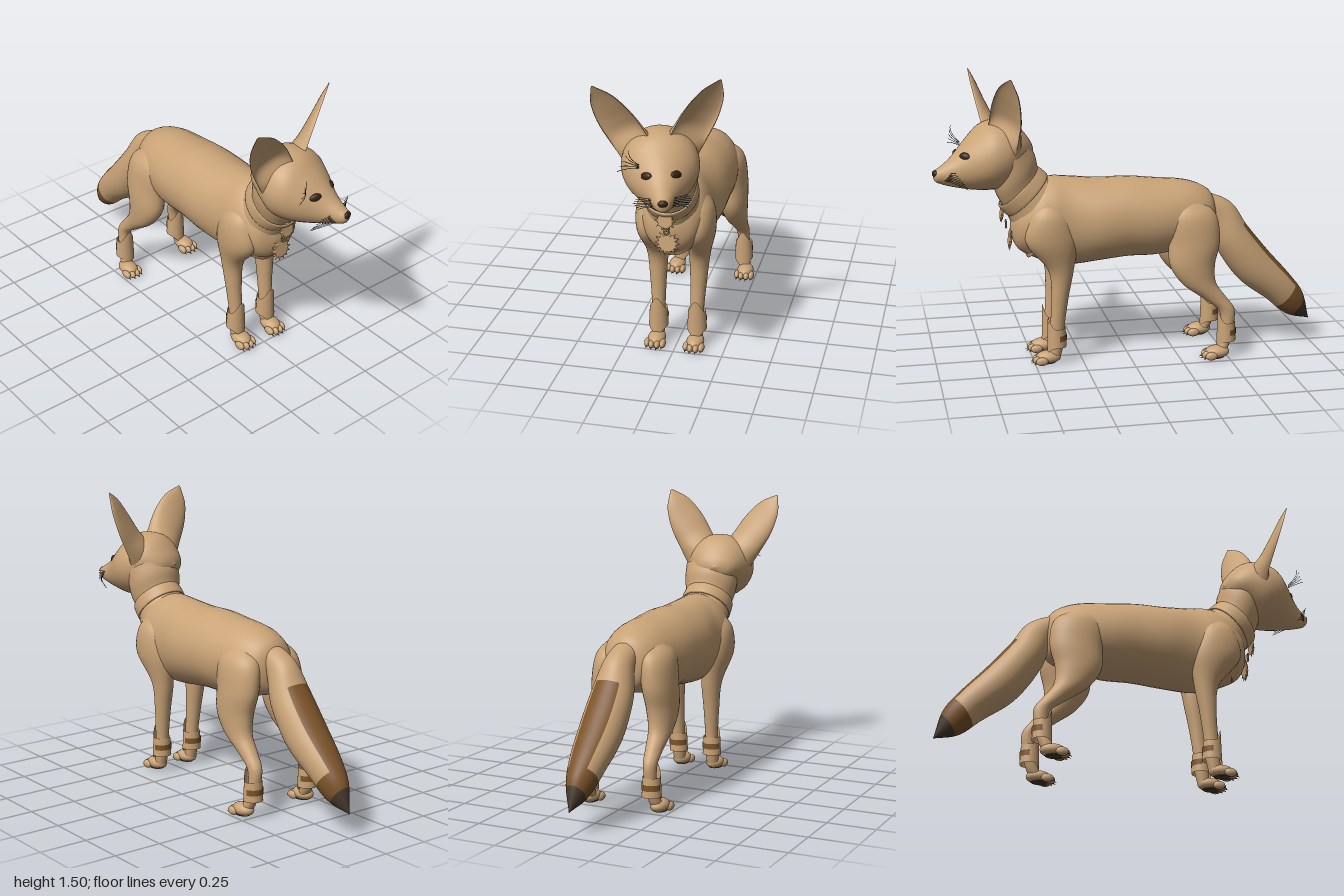
import * as THREE from 'three';

const mat = (name, color, side = THREE.FrontSide) => {
  const m = new THREE.MeshStandardMaterial({ color, side });
  m.name = name;
  return m;
};

// Lofts ellipses through sections [x, y, z, rx, ry, tilt]; tilt turns the travel
// direction from +z (0) towards +y (90). pick(k, angle) chooses a material index.
function loft(sections, { sides = 32, sub = 6, pick = () => 0 } = {}) {
  const curve = (o) => new THREE.CatmullRomCurve3(
    sections.map((s) => new THREE.Vector3(s[o], s[o + 1], s[o + 2])), false, 'catmullrom');
  const centres = curve(0), shapes = curve(3);
  const steps = (sections.length - 1) * sub, pos = [], faces = [[], [], []];
  for (let i = 0; i <= steps; i++) {
    const c = centres.getPoint(i / steps), s = shapes.getPoint(i / steps);
    const t = THREE.MathUtils.degToRad(s.z);
    const rx = Math.max(s.x, 0.001), ry = Math.max(s.y, 0.001);
    for (let j = 0; j < sides; j++) {
      const a = (j / sides) * Math.PI * 2, v = Math.sin(a) * ry;
      pos.push(c.x + Math.cos(a) * rx, c.y + v * Math.cos(t), c.z - v * Math.sin(t));
    }
  }
  for (let i = 0; i < steps; i++) for (let j = 0; j < sides; j++) {
    const n = (j + 1) % sides, a = i * sides + j, b = i * sides + n;
    faces[pick((i + 0.5) / sub, ((j + 0.5) / sides) * Math.PI * 2)]
      .push(a, b, b + sides, a, b + sides, a + sides);
  }
  return build(pos, faces);
}

function build(pos, faces) {
  const g = new THREE.BufferGeometry();
  g.setAttribute('position', new THREE.Float32BufferAttribute(pos, 3));
  g.setIndex(faces.flat());
  let start = 0;
  faces.forEach((f, i) => { if (f.length) g.addGroup(start, f.length, i); start += f.length; });
  g.computeVertexNormals();
  return g;
}

// Mirrored copy across x = 0 with the corner order restored
function mirrored(g) {
  const m = g.clone().scale(-1, 1, 1), ix = m.index.array;
  for (let i = 0; i < ix.length; i += 3) [ix[i], ix[i + 1]] = [ix[i + 1], ix[i]];
  m.computeVertexNormals();
  return m;
}

// Cupped ear: crescent cross-sections along a slanted axis
function earGeometry() {
  const base = new THREE.Vector3(0.085, 0.02, -0.02), tip = new THREE.Vector3(0.295, 0.39, 0);
  const axis = tip.clone().sub(base).normalize();
  const out = new THREE.Vector3(0.5, 0, 0.87);
  const w = out.clone().cross(axis).normalize().negate();
  const n = axis.clone().cross(w).normalize();
  // rows: half width, back bulge, hollow (positive is backwards)
  const prof = new THREE.CatmullRomCurve3([[0.1, 0.1, -0.03], [0.1, 0.085, -0.01], [0.1, 0.06, 0.035],
    [0.098, 0.045, 0.034], [0.086, 0.032, 0.024], [0.06, 0.02, 0.014], [0.004, 0.003, 0]]
    .map((p) => new THREE.Vector3(...p)), false, 'catmullrom');
  const sides = 32, steps = 30, pos = [], f = [];
  if (n.dot(out) < 0) { n.negate(); w.negate(); }
  for (let i = 0; i <= steps; i++) {
    const p = prof.getPoint(i / steps), c = base.clone().lerp(tip, i / steps);
    for (let j = 0; j < sides; j++) {
      const a = (j / sides) * Math.PI * 2, s = Math.sin(a);
      const d = s > 0 ? -p.y * s : p.z * s;
      const q = c.clone().addScaledVector(w, p.x * Math.cos(a)).addScaledVector(n, d);
      pos.push(q.x, q.y, q.z);
      if (i < steps) {
        const b = i * sides + (j + 1) % sides, k = i * sides + j;
        f.push(k, b + sides, b, k, k + sides, b + sides);
      }
    }
  }
  // Orient outward using the signed volume
  let vol = 0;
  const at = (i) => new THREE.Vector3(pos[3 * i], pos[3 * i + 1], pos[3 * i + 2]).sub(base);
  for (let i = 0; i < f.length; i += 3) vol += at(f[i]).dot(at(f[i + 1]).cross(at(f[i + 2])));
  return build(pos, [vol < 0 ? f.reverse() : f]);
}

export function createModel() {
  const fur = mat('sand fur', 0xc9a377), trim = mat('sand trim', 0xc9a377, THREE.DoubleSide);
  const brown = mat('brown', 0x7c5429, THREE.DoubleSide), dark = mat('dark tip', 0x44382b);
  const black = mat('dark eye', 0x33200f), hair = mat('whisker', 0x303842);
  const model = new THREE.Group();
  const add = (name, geo, material, parent = model) => {
    const m = new THREE.Mesh(geo, material);
    m.name = name;
    parent.add(m);
    return m;
  };
  const ball = (name, p, r, material, parent) => {
    const m = add(name, new THREE.SphereGeometry(1, 20, 14), material, parent);
    m.position.set(...p);
    m.scale.set(...r);
    return m;
  };

  // Torso, neck and collar
  add('body', loft([[0, .72, -.47, .01, .01, 0], [0, .72, -.45, .09, .11, 0], [0, .73, -.4, .14, .15, 0],
    [0, .735, -.3, .175, .18, 0], [0, .73, -.15, .197, .2, 0], [0, .737, 0, .2, .208, 0],
    [0, .73, .15, .2, .215, 0], [0, .73, .3, .176, .23, 0], [0, .74, .4, .176, .225, 0],
    [0, .74, .48, .165, .195, 0], [0, .72, .56, .12, .13, 0], [0, .71, .595, .05, .06, 0],
    [0, .71, .605, 0, 0, 0]]), fur);
  add('neck', loft([[0, .72, .42, .15, .2, 30], [0, .82, .48, .138, .16, 40], [0, .9, .54, .125, .13, 45],
    [0, .99, .575, .145, .135, 50], [0, 1.08, .6, .15, .11, 60]]), fur);
  add('collar', loft([[0, .872, .512, .13, .137, 45], [0, .877, .517, .137, .146, 45],
    [0, .917, .557, .134, .142, 45], [0, .922, .562, .127, .132, 45]], { sub: 3 }), trim);

  // Tail with a saddle stripe, a brown band and a dark tip
  add('tail', loft([[0, .12, -.998, 0, 0, 35], [0, .21, -.915, .058, .072, 38], [0, .31, -.82, .09, .09, 42],
    [0, .44, -.68, .11, .108, 46], [0, .6, -.56, .105, .1, 54], [0, .74, -.485, .075, .08, 56],
    [0, .81, -.36, .06, .05, 30]], {
    sides: 48, sub: 12,
    pick: (k, a) => (k < 0.85 ? 2 : k < 1.6 || (k < 4.2 && Math.sin(a) > 0.76) ? 1 : 0),
  }), [fur, brown, dark]);

  // Legs, paws and cuffs
  const frontLeg = loft([[.1, .86, .42, .04, .05, -90], [.12, .78, .42, .072, .1, -90],
    [.122, .65, .41, .075, .13, -90], [.108, .5, .362, .054, .066, -90], [.104, .35, .368, .042, .044, -90],
    [.1, .2, .382, .034, .037, -90], [.1, .1, .388, .034, .036, -90], [.1, .02, .4, .03, .03, -90]]);
  const hindLeg = loft([[.09, .84, -.29, .04, .05, -90], [.12, .76, -.31, .08, .13, -90],
    [.14, .62, -.325, .08, .135, -90], [.15, .5, -.315, .073, .118, -90], [.158, .4, -.35, .058, .088, -90],
    [.163, .32, -.43, .043, .062, -90], [.17, .25, -.495, .034, .042, -90], [.175, .15, -.497, .03, .031, -90],
    [.183, .07, -.475, .032, .032, -90], [.19, .02, -.45, .03, .03, -90]]);
  const cuffGeo = new THREE.CylinderGeometry(.045, .05, .1, 32, 6, true);
  const cp = cuffGeo.attributes.position;
  for (let i = 0; i < cp.count; i++) {
    const y = cp.getY(i), peak = Math.max(0, cp.getZ(i) / .045) ** 3;
    cp.setY(i, y + peak * (y > 0 ? 1.3 : 0.5) * y);
  }
  cuffGeo.computeVertexNormals();
  const limb = (label, geo, side, x, pawZ, cuffX, cuffZ) => {
    const leg = new THREE.Group();
    leg.name = label;
    model.add(leg);
    add(label + 'Limb', side > 0 ? geo : mirrored(geo), fur, leg);
    ball('paw', [side * x, .035, pawZ], [.045, .034, .065], fur, leg);
    ball('pawPad', [side * x, .008, pawZ + .01], [.036, .008, .05], dark, leg);
    for (const o of [-.039, -.014, .014, .039]) {
      const z = pawZ + .058 - Math.abs(o) * .5;
      ball('toe', [side * x + o, .023, z], [.016, .022, .032], fur, leg);
      const claw = add('claw', new THREE.ConeGeometry(.005, .022, 8), dark, leg);
      claw.position.set(side * x + o, .012, z + .032);
      claw.rotation.x = 1.9;
    }
    add('cuff', cuffGeo, trim, leg).position.set(side * cuffX, .14, cuffZ);
    const strap = add('cuffStrap', new THREE.CylinderGeometry(.051, .051, .03, 20, 1, true, Math.PI * .55, Math.PI * .9), brown, leg);
    strap.position.set(side * cuffX, .14, cuffZ);
  };
  for (const s of [1, -1]) {
    const name = s > 0 ? 'left' : 'right';
    limb(name + 'FrontLeg', frontLeg, s, .1, .43, .1, .386);
    limb(name + 'HindLeg', hindLeg, s, .195, -.44, .176, -.492);
  }

  // Head, turned slightly to its left
  const head = new THREE.Group();
  head.name = 'head';
  head.position.set(-.01, 1.1, .69);
  head.rotation.set(0, THREE.MathUtils.degToRad(15), .04);
  model.add(head);
  add('skull', loft([[0, 0, -.215, 0, 0, 0], [0, 0, -.19, .085, .06, 0], [0, .01, -.12, .145, .13, 0],
    [0, -.01, -.04, .182, .172, 0], [0, -.02, .04, .178, .168, 0], [0, -.045, .11, .14, .135, 0],
    [0, -.068, .17, .095, .1, 0], [0, -.085, .22, .064, .07, 0], [0, -.094, .27, .042, .044, 0],
    [0, -.095, .3, .027, .027, 0], [0, -.095, .31, 0, 0, 0]]), fur, head);
  const ear = earGeometry();
  add('leftEar', ear, fur, head);
  add('rightEar', mirrored(ear), fur, head);
  ball('nose', [0, -.083, .298], [.024, .018, .016], black, head);

  const whisker = (a, b, c) => add('whisker', new THREE.TubeGeometry(new THREE.QuadraticBezierCurve3(
    new THREE.Vector3(...a), new THREE.Vector3(...b), new THREE.Vector3(...c)), 8, .0014, 4), hair, head);
  for (const s of [1, -1]) {
    const eye = ball('eye', [s * .068, .002, .165], [.03, .018, .012], black, head);
    eye.rotation.set(-.5, s * .65, s * .15);
    for (let i = 0; i < 7; i++) {
      const f = i / 6 - .5;
      whisker([s * .04, -.1 + f * .03, .25 - f * .03], [s * .09, -.09 + f * .04, .25],
        [s * (.135 - Math.abs(f) * .04), -.115 + f * .09, .2 + f * .06]);
    }
  }
  for (let i = 0; i < 5; i++) {
    whisker([-.1, .03 + i * .004, .13], [-.15, .05 + i * .012, .17], [-.2 + i * .015, .03 + i * .025, .16]);
  }

  // Collar medallion, link and sun pendant
  const jewel = (name, y, z, r, rays) => {
    const g = new THREE.Group();
    g.name = name;
    g.position.set(0, y, z);
    g.rotation.x = -.12;
    model.add(g);
    add(name + 'Disc', new THREE.CylinderGeometry(r, r, .012, 28), trim, g).rotation.x = Math.PI / 2;
    add(name + 'Rim', new THREE.TorusGeometry(r, .005, 8, 28), trim, g);
    for (let i = 0; i < rays; i++) {
      const a = (i / rays) * Math.PI * 2;
      const ray = add('ray', new THREE.ConeGeometry(r * .26, r * .6, 4), trim, g);
      ray.position.set(Math.cos(a) * r * 1.3, Math.sin(a) * r * 1.3, 0);
      ray.rotation.z = a - Math.PI / 2;
      ray.scale.z = .5;
    }
  };
  jewel('medallion', .785, .645, .034, 10);
  jewel('sunPendant', .65, .605, .04, 14);
  for (const y of [.735, .716]) {
    add('chainLink', new THREE.TorusGeometry(.012, .004, 8, 18), trim).position.set(0, y, .625);
  }
  return model;
}
